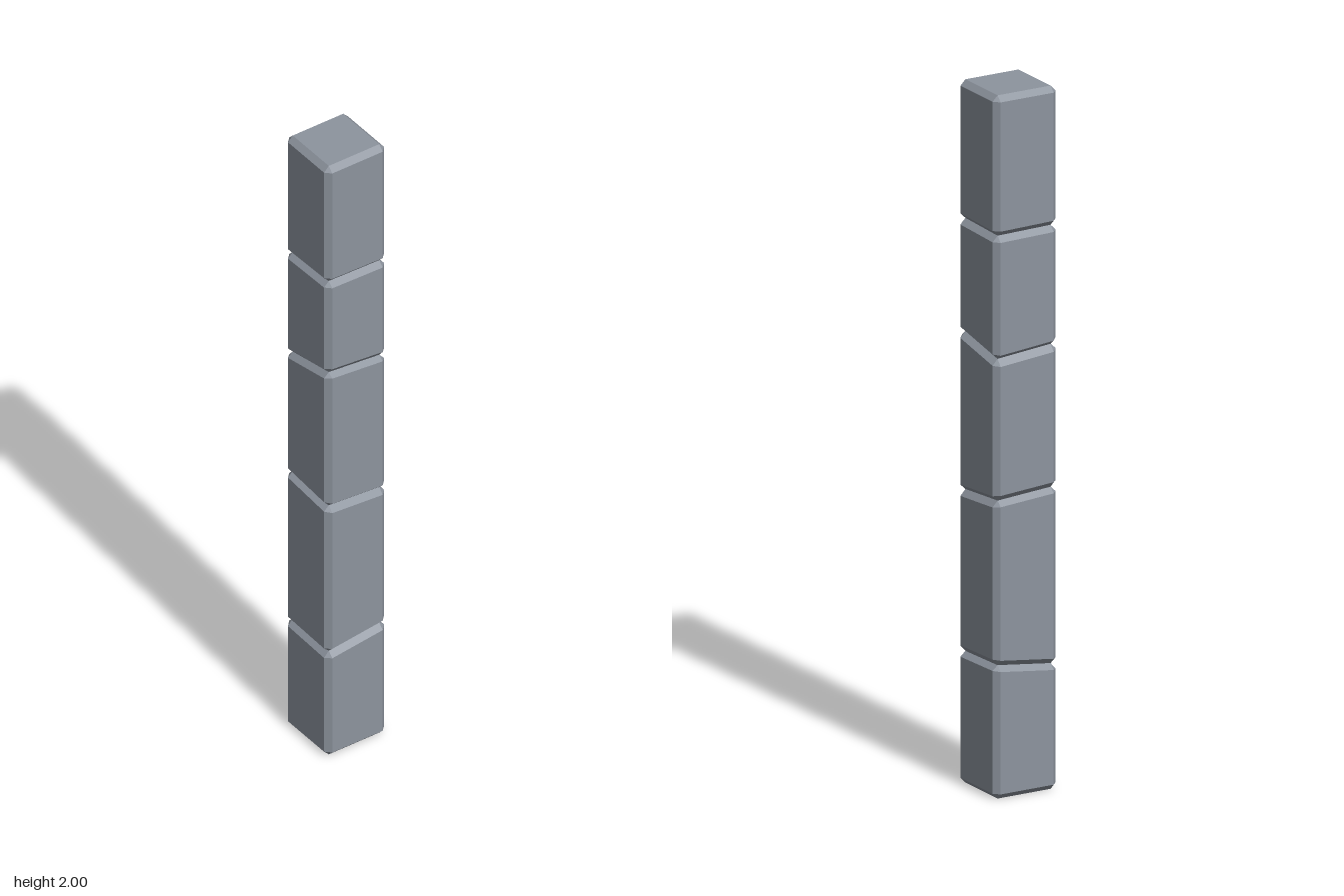
import * as THREE from 'three';
import { ConvexGeometry } from 'three/addons/geometries/ConvexGeometry.js';

const HALF = 0.1;      // half width of the pillar
const BEVEL = 0.016;   // chamfer on every edge
const INNER = HALF - BEVEL;

// Cutting planes between blocks: y = c + a * x + b * z
const cuts = [
  { c: 0, a: 0, b: 0 },
  { c: 0.366, a: -0.03, b: -0.13 },
  { c: 0.847, a: -0.075, b: 0.07 },
  { c: 1.275, a: 0.2, b: 0.09 },
  { c: 1.605, a: 0.03, b: 0.02 },
  { c: 2, a: 0, b: 0 },
];

// One end of a block: the inset end face plus the chamfered ring next to it
function endPoints({ c, a, b }, inward) {
  const points = [];
  const add = (x, z, dy) => points.push(new THREE.Vector3(x, c + a * x + b * z + dy, z));
  for (const sx of [-1, 1]) {
    for (const sz of [-1, 1]) {
      add(sx * INNER, sz * INNER, 0);
      add(sx * HALF, sz * INNER, inward * BEVEL);
      add(sx * INNER, sz * HALF, inward * BEVEL);
    }
  }
  return points;
}

export function createModel() {
  const model = new THREE.Group();
  model.name = 'stonePillar';
  const stone = new THREE.MeshStandardMaterial({ color: 0x8d949e });
  stone.name = 'greyStone';
  stone.flatShading = true;

  // Stacked blocks with slanted joints
  for (let i = 0; i < cuts.length - 1; i++) {
    const points = [...endPoints(cuts[i], 1), ...endPoints(cuts[i + 1], -1)];
    const block = new THREE.Mesh(new ConvexGeometry(points), stone);
    block.name = `block${i + 1}`;
    model.add(block);
  }
  return model;
}
